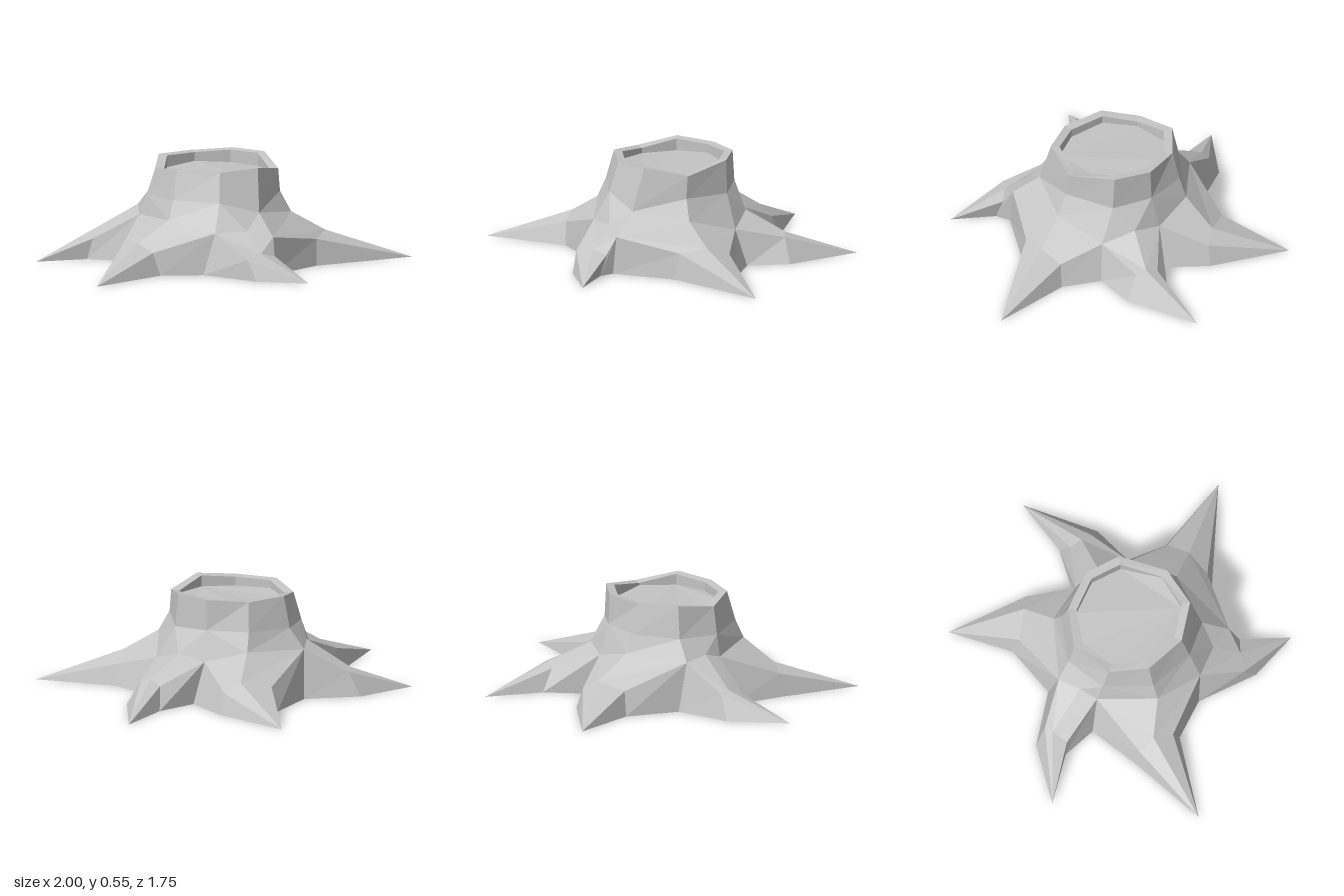
import * as THREE from 'three';

const bark = new THREE.MeshStandardMaterial({ color: 0xc4c4c4, flatShading: true });
bark.name = 'grey wood';

// Valleys between neighbouring roots: [x, z] on the ground, then the upper point [x, y, z]
const valleys = [
  { g: [0.28, 0.49], V: [0.28, 0.2, 0.47] },
  { g: [0.38, -0.235], V: [0.32, 0.19, -0.19] },
  { g: [0.08, -0.4], V: [0.03, 0.22, -0.345] },
  { g: [-0.48, -0.19], V: [-0.47, 0.26, -0.13] },
  { g: [-0.54, 0.13], V: [-0.45, 0.25, 0.1] },
  { g: [-0.09, 0.515], V: [-0.03, 0.22, 0.485] },
];

// Roots, counter-clockwise from above: tip, ground bends a/b, upper bends u/w, ridge bend r, ridge base R
const roots = [
  { name: 'leftRoot', tip: [1, -0.06], a: [0.5, 0.22], b: [0.56, -0.11],
    u: [0.5, 0.14, 0.19], w: [0.53, 0.12, -0.08], r: [0.54, 0.165, 0.05], R: [0.36, 0.27, 0.085] },
  { name: 'backLeftRoot', tip: [0.34, -0.875], a: [0.43, -0.46], b: [0.23, -0.575],
    u: [0.355, 0.13, -0.46], w: [0.24, 0.12, -0.51], r: [0.3, 0.145, -0.48], R: [0.18, 0.25, -0.3] },
  { name: 'backRightRoot', tip: [-0.48, -0.82], a: [-0.1, -0.59], b: [-0.39, -0.47],
    u: [-0.12, 0.11, -0.56], w: [-0.355, 0.13, -0.455], r: [-0.2, 0.16, -0.52], R: [-0.2, 0.28, -0.335] },
  { name: 'rightRoot', tip: [-1, 0.17], a: [-0.77, -0.08], b: [-0.73, 0.08],
    u: [-0.7, 0.13, -0.07], w: [-0.7, 0.11, 0.07], r: [-0.7, 0.145, -0.02], R: [-0.46, 0.28, 0] },
  { name: 'frontRightRoot', tip: [-0.645, 0.87], a: [-0.575, 0.45], b: [-0.32, 0.54],
    u: [-0.54, 0.12, 0.43], w: [-0.36, 0.12, 0.525], r: [-0.445, 0.16, 0.455], R: [-0.28, 0.27, 0.375] },
  { name: 'frontLeftRoot', tip: [0.48, 0.735], a: [0.2, 0.69], b: [0.3, 0.57],
    u: [0.15, 0.11, 0.65], w: [0.29, 0.11, 0.53], r: [0.22, 0.13, 0.58], R: [0.14, 0.23, 0.46] },
];

// Nine-sided trunk rings: where the trunk leaves the roots, and its uneven top
const collar = [
  [0.2, 0.31, 0.35], [0.3, 0.38, 0.08], [0.22, 0.365, -0.18], [0.03, 0.38, -0.29], [-0.2, 0.38, -0.29],
  [-0.39, 0.37, -0.12], [-0.41, 0.36, 0.11], [-0.26, 0.37, 0.335], [-0.01, 0.37, 0.405],
];
const rim = [
  [0.19, 0.54, 0.28], [0.29, 0.5, 0.07], [0.205, 0.545, -0.18], [0.03, 0.545, -0.28], [-0.19, 0.535, -0.25],
  [-0.355, 0.54, -0.105], [-0.365, 0.505, 0.12], [-0.24, 0.53, 0.295], [-0.01, 0.525, 0.355],
];

const ground = ([x, z]) => [x, 0, z];

// Mesh from convex polygons, each listed counter-clockwise from outside
function facets(name, polygons) {
  const pos = [];
  for (const p of polygons)
    for (let i = 1; i < p.length - 1; i++) pos.push(...p[0], ...p[i], ...p[i + 1]);
  const geo = new THREE.BufferGeometry();
  geo.setAttribute('position', new THREE.Float32BufferAttribute(pos, 3));
  geo.computeVertexNormals();
  const mesh = new THREE.Mesh(geo, bark);
  mesh.name = name;
  return mesh;
}

// Triangles joining a lower ring to an upper ring with a different number of points
function bridge(low, high) {
  const dist = (p, q) => Math.hypot(p[0] - q[0], p[1] - q[1], p[2] - q[2]);
  const tris = [];
  let i = 0, j = 0;
  while (i < low.length || j < high.length) {
    const p = low[i % low.length], q = high[j % high.length];
    const p2 = low[(i + 1) % low.length], q2 = high[(j + 1) % high.length];
    if (j === high.length || (i < low.length && dist(p2, q) <= dist(p, q2))) {
      tris.push([p, p2, q]);
      i++;
    } else {
      tris.push([p, q2, q]);
      j++;
    }
  }
  return tris;
}

// Quads joining two rings with equal numbers of points
const band = (low, high) => low.map((p, i) => {
  const k = (i + 1) % low.length;
  return [p, low[k], high[k], high[i]];
});

export function createModel() {
  const group = new THREE.Group();
  group.name = 'treeStump';
  const base = [], outline = [];

  // Spreading roots
  roots.forEach((root, i) => {
    const v0 = valleys[i], v1 = valleys[(i + 1) % valleys.length];
    const { u, w, r, R } = root;
    const [G0, G1, a, b, tip] = [v0.g, v1.g, root.a, root.b, root.tip].map(ground);
    group.add(facets(root.name, [
      [G0, a, u, v0.V], [a, tip, u], [tip, b, w], [b, G1, v1.V, w],
      [v0.V, u, r, R], [u, tip, r], [tip, w, r], [r, w, v1.V, R],
    ]));
    base.push(v0.V, R);
    outline.push(v0.g, root.a, root.tip, root.b);
  });

  // Trunk
  group.add(facets('trunk', [...bridge(base, collar), ...band(collar, rim)]));

  // Raised bark rim around the sunken cut face
  const inner = rim.map(([x, y, z]) => [-0.03 + (x + 0.03) * 0.86, y - 0.005, 0.035 + (z - 0.035) * 0.86]);
  const floor = inner.map(([x, , z], i) => [x, 0.475 + 0.008 * Math.sin(i * 2), z]);
  group.add(facets('barkRim', [...band(rim, inner), ...band(inner, floor)]));
  group.add(facets('cutFace', [floor]));

  // Flat underside
  const shape = new THREE.Shape(outline.map(([x, z]) => new THREE.Vector2(x, z)));
  const underside = new THREE.Mesh(new THREE.ShapeGeometry(shape).rotateX(Math.PI / 2), bark);
  underside.name = 'underside';
  group.add(underside);
  return group;
}
